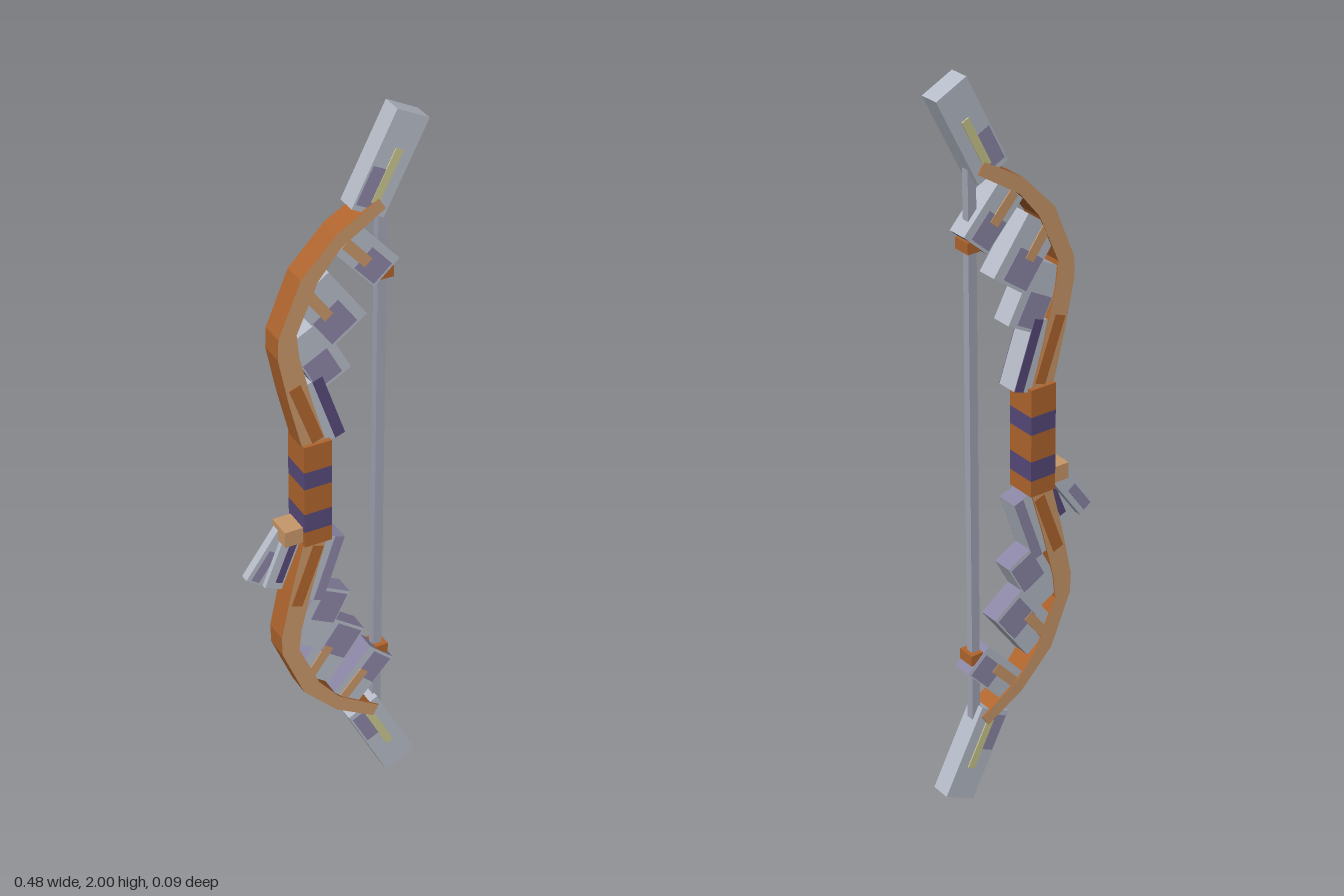
import * as THREE from 'three';

const mat = (name, color) => {
  const m = new THREE.MeshStandardMaterial({ color });
  m.name = name;
  return m;
};

export function createModel() {
  const tan = mat('light wood', 0xc8986a);
  const orange = mat('orange wood', 0xb0652e);
  const purple = mat('purple wrap', 0x574a7a);
  const lavender = mat('lavender metal', 0x8c86a6);
  const silver = mat('silver metal', 0xb6bcc8);
  const steel = mat('string grey', 0xa2a5b4);
  const yellow = mat('pale yellow', 0xc9c78e);

  const bow = new THREE.Group();
  bow.name = 'bow';

  const box = (parent, name, m, [w, h, d], [x, y, z = 0], angle = 0) => {
    const mesh = new THREE.Mesh(new THREE.BoxGeometry(w, h, d), m);
    mesh.name = name;
    mesh.position.set(x, y, z);
    mesh.rotation.z = angle;
    parent.add(mesh);
    return mesh;
  };
  // thin painted plates on both broad faces of a part
  const paint = (parent, name, m, w, h, x, y, depth, angle = 0) => {
    for (const side of [1, -1])
      box(parent, name, m, [w, h, 0.003], [x, y, side * (depth / 2 + 0.0005)], angle);
  };

  // banded grip
  const bands = [0.855, 0.9, 0.955, 1.03, 1.08, 1.155];
  for (let i = 0; i < 5; i++) {
    const h = bands[i + 1] - bands[i];
    box(bow, 'gripBand', i % 2 ? purple : orange, [0.076, h, 0.086], [-0.062, bands[i] + h / 2]);
  }

  // limb outline measured from the middle of the bow
  const outline = [
    [-0.1, 0.15], [-0.135, 0.29], [-0.162, 0.42], [-0.16, 0.475], [-0.1, 0.62],
    [-0.005, 0.718], [0.105, 0.782], [0.122, 0.753], [0.005, 0.678], [-0.055, 0.605],
    [-0.112, 0.475], [-0.105, 0.41], [-0.07, 0.27], [-0.035, 0.15],
  ];
  // plates along the limb: x, y, length, width, tilt in degrees
  const plates = [
    [0.078, 0.635, 0.157, 0.09, -48],
    [-0.02, 0.515, 0.175, 0.115, -54],
    [-0.05, 0.395, 0.175, 0.1, -62],
    [-0.045, 0.238, 0.19, 0.07, -71],
  ];

  for (const s of [1, -1]) {
    const half = new THREE.Group();
    half.name = s > 0 ? 'upperHalf' : 'lowerHalf';
    half.position.y = 1;
    bow.add(half);

    // curved limb with lighter broad faces
    const shape = new THREE.Shape(outline.map(([x, y]) => new THREE.Vector2(x, s * y)));
    const geo = new THREE.ExtrudeGeometry(shape, { depth: 0.066, bevelEnabled: false });
    geo.translate(0, 0, -0.033);
    const limb = new THREE.Mesh(geo, [tan, orange]);
    limb.name = 'limb';
    half.add(limb);
    paint(half, 'limbStripe', orange, 0.032, 0.18, -0.088, s * 0.245, 0.066, s * 0.35);

    // tilted plates
    plates.forEach(([x, y, len, wid, deg], i) => {
      const plate = new THREE.Group();
      plate.name = 'limbPlate';
      plate.position.set(x, s * y, 0);
      plate.rotation.z = s * deg * Math.PI / 180;
      half.add(plate);
      const d = 0.056 + i * 0.001;
      const last = i === 3;
      const edge = last && s > 0 ? purple : lavender;
      // silver upper faces, darker lower faces
      const body = box(plate, 'plateBody', silver, [len, wid, d], [0, 0]);
      body.material = [edge, silver, s > 0 ? silver : edge, s > 0 ? edge : silver, silver, silver];
      if (last) paint(plate, 'plateEdge', edge, len, wid * 0.4, 0, s * wid * 0.29, d);
      else {
        paint(plate, 'platePatch', lavender, len * 0.5, wid * 0.72, len * 0.2, -wid * 0.1, d);
        if (i < 2) paint(plate, 'plateInlay', tan, 0.09, 0.028, -len * 0.2, -s * wid * 0.12, d + 0.003);
      }
    });

    // end block with inlay
    const tip = new THREE.Group();
    tip.name = 'tip';
    tip.position.set(0.136, s * 0.863, 0);
    tip.rotation.z = -s * 0.47;
    half.add(tip);
    box(tip, 'tipBlock', silver, [0.095, 0.258, 0.055], [0, 0]);
    paint(tip, 'tipShade', lavender, 0.045, 0.1, -0.02, -s * 0.065, 0.055);
    paint(tip, 'tipInlay', yellow, 0.022, 0.14, 0.005, -s * 0.03, 0.058);

    // string knot
    box(half, 'stringKnot', orange, [0.036, 0.03, 0.05], [0.133, s * 0.573]);
  }

  // bowstring
  box(bow, 'bowstring', steel, [0.024, 1.53, 0.022], [0.127, 1]);

  // charm hanging from the outer side below the grip
  const charm = new THREE.Group();
  charm.name = 'charm';
  bow.add(charm);
  box(charm, 'charmKnot', tan, [0.05, 0.045, 0.068], [-0.125, 0.888]);
  box(charm, 'longStrip', silver, [0.054, 0.165, 0.024], [-0.17, 0.82, -0.016], -0.62);
  box(charm, 'longStripShade', lavender, [0.026, 0.09, 0.026], [-0.19, 0.795, -0.016], -0.62);
  box(charm, 'shortStrip', silver, [0.05, 0.15, 0.014], [-0.145, 0.8, 0.004], -0.38);
  box(charm, 'shortStripShade', purple, [0.02, 0.12, 0.016], [-0.135, 0.8, 0.004], -0.38);

  return bow;
}
